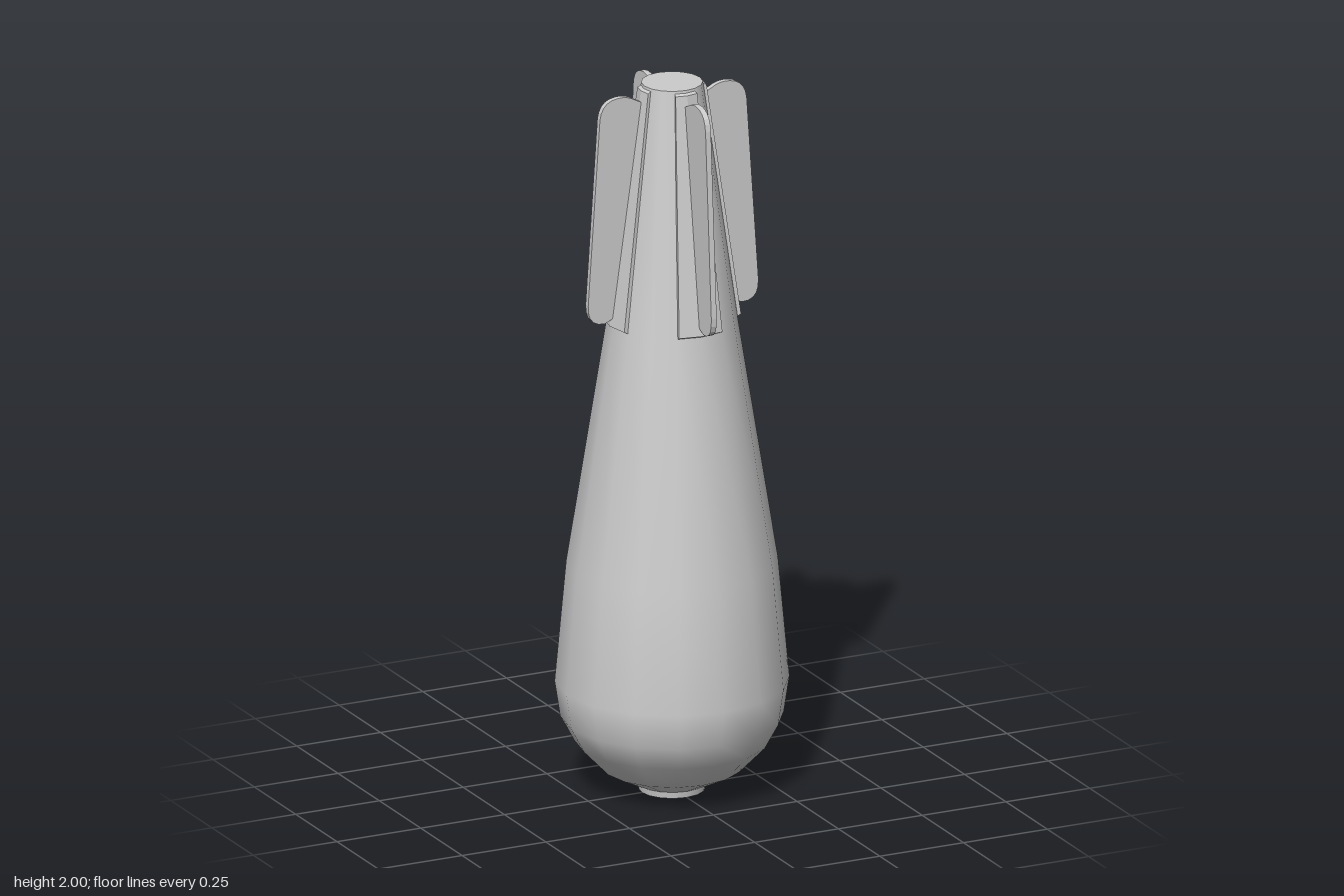
import * as THREE from 'three';

const SIDES = 16;
const grey = (extra = {}) => new THREE.MeshStandardMaterial({ color: 0xcccccc, ...extra });

function add(parent, name, geometry, material) {
  const mesh = new THREE.Mesh(geometry, material);
  mesh.name = name;
  parent.add(mesh);
  return mesh;
}

// Curved mounting plate hugging the tapered tail, with chamfered sides
function plateGeometry() {
  const geo = new THREE.BoxGeometry(2, 1, 1, 2, 1, 1);
  const pos = geo.attributes.position;
  for (let i = 0; i < pos.count; i++) {
    const outer = pos.getZ(i) > 0;
    const top = pos.getY(i) > 0;
    const y = top ? (outer ? 1.988 : 1.998) : (outer ? 1.335 : 1.325);
    const r = (top ? 0.083 : 0.176) + (outer ? 0.01 : -0.01);
    const angle = pos.getX(i) * (outer ? 0.355 : 0.385);
    pos.setXYZ(i, r * Math.sin(angle), y, r * Math.cos(angle));
  }
  geo.computeVertexNormals();
  return geo;
}

// Flat fin with rounded outer corners, drawn in the x/y plane
function finGeometry() {
  const s = new THREE.Shape();
  s.moveTo(0.155, 1.375);
  s.lineTo(0.18, 1.358);
  s.lineTo(0.205, 1.347);
  s.quadraticCurveTo(0.257, 1.345, 0.254, 1.405);
  s.lineTo(0.219, 1.925);
  s.quadraticCurveTo(0.213, 1.975, 0.168, 1.979);
  s.quadraticCurveTo(0.14, 1.983, 0.115, 1.968);
  s.lineTo(0.07, 1.945);
  s.closePath();
  const geo = new THREE.ExtrudeGeometry(s, { depth: 0.016, bevelEnabled: false, curveSegments: 5 });
  return geo.translate(0, 0, -0.008);
}

export function createModel() {
  const model = new THREE.Group();
  model.name = 'finnedBody';

  // Teardrop body, smooth around 16 sides
  const profile = [
    [0.093, 0.018], [0.19, 0.065], [0.262, 0.14], [0.3, 0.21], [0.315, 0.31],
    [0.284, 0.65], [0.176, 1.33], [0.083, 2],
  ].map(([r, y]) => new THREE.Vector2(r, y));
  add(model, 'body', new THREE.LatheGeometry(profile, SIDES), grey());

  // Flat tail cap and nose disc
  const cap = add(model, 'tailCap', new THREE.CircleGeometry(0.083, SIDES), grey());
  cap.rotation.x = -Math.PI / 2;
  cap.position.y = 2;
  const nose = add(model, 'noseDisc', new THREE.CylinderGeometry(0.093, 0.09, 0.022, SIDES), grey());
  nose.position.y = 0.011;

  // Four fins on their plates
  const plate = plateGeometry();
  const fin = finGeometry();
  for (let i = 0; i < 4; i++) {
    const unit = new THREE.Group();
    unit.name = 'finAssembly' + (i + 1);
    unit.rotation.y = i * Math.PI / 2;
    add(unit, 'finPlate', plate, grey({ flatShading: true }));
    add(unit, 'fin', fin, grey()).rotation.y = -Math.PI / 2;
    model.add(unit);
  }
  return model;
}
